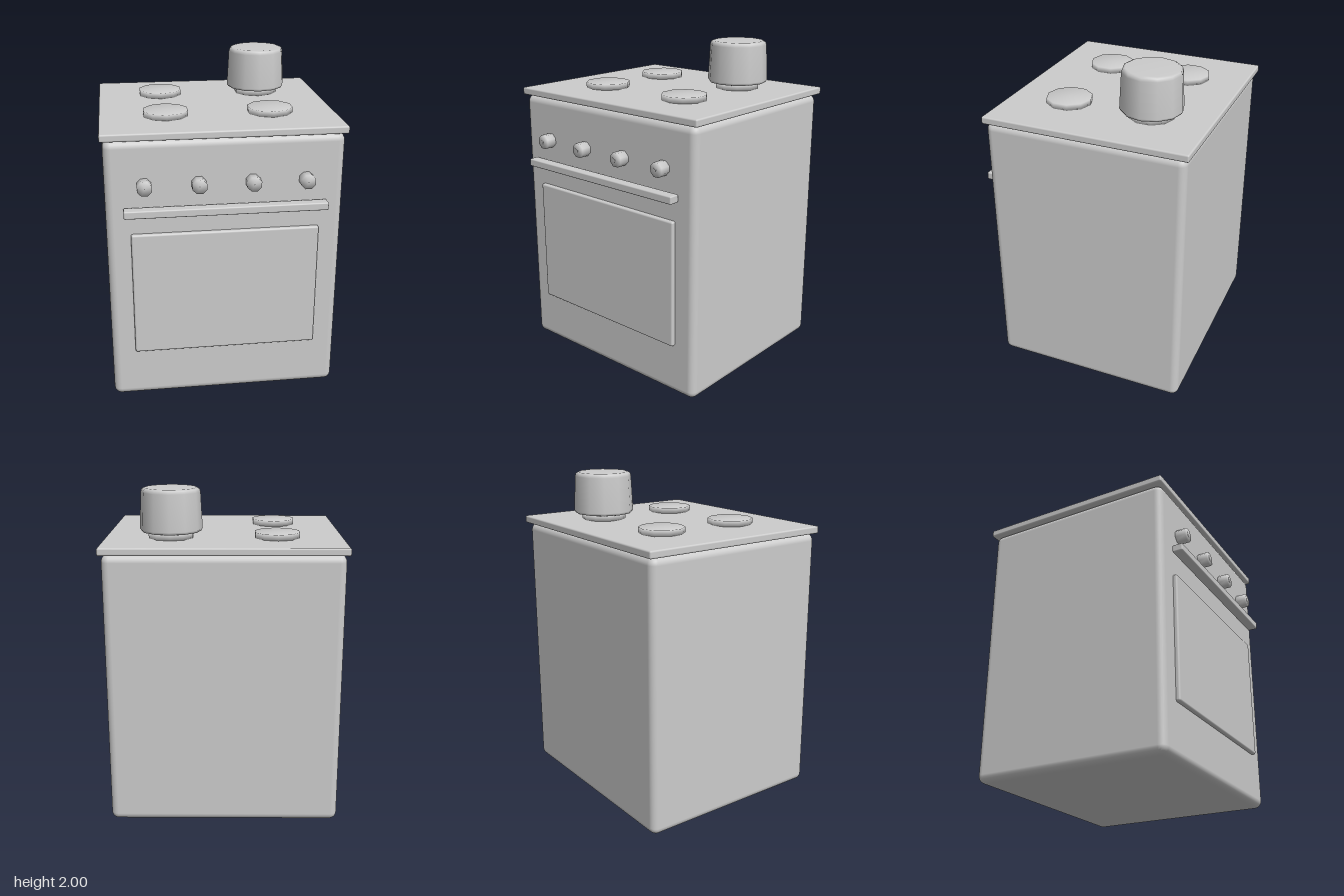
import * as THREE from 'three';
import { RoundedBoxGeometry } from 'three/addons/geometries/RoundedBoxGeometry.js';

export function createModel() {
  const model = new THREE.Group();
  model.name = 'stove';
  const enamel = new THREE.MeshStandardMaterial({ color: 0xcccccc });
  enamel.name = 'light grey enamel';

  const add = (name, geometry, x, y, z) => {
    const mesh = new THREE.Mesh(geometry, enamel);
    mesh.name = name;
    mesh.position.set(x, y, z);
    model.add(mesh);
    return mesh;
  };

  // Rounded box given by its lower and upper limits
  const box = (name, [x0, y0, z0], [x1, y1, z1], radius, segments = 2) =>
    add(name, new RoundedBoxGeometry(x1 - x0, y1 - y0, z1 - z0, segments, radius),
      (x0 + x1) / 2, (y0 + y1) / 2, (z0 + z1) / 2);

  // Softly shaded turned shape, profile listed from bottom to top
  const turned = (profile, sides, start = 0) =>
    new THREE.LatheGeometry(profile.map(([r, y]) => new THREE.Vector2(r, y)), sides, start);

  // Cabinet, hob plate, oven door and handle bar
  box('cabinet', [-0.695, 0, -0.64], [0.695, 1.66, 0.58], 0.045, 3);
  box('hobPlate', [-0.71, 1.66, -0.66], [0.71, 1.705, 0.59], 0.01);
  box('ovenDoor', [-0.555, 0.32, 0.54], [0.555, 1.1, 0.605], 0.012);
  box('doorHandle', [-0.592, 1.225, 0.597], [0.592, 1.272, 0.662], 0.008);

  // Four burners
  const burner = turned([[0, 0], [0.138, 0], [0.138, 0.04], [0, 0.04]], 10);
  for (const x of [-0.315, 0.315]) {
    for (const z of [-0.3, 0.22]) add('burner', burner, x, 1.7, z);
  }

  // Control knobs
  const knob = turned([[0, 0], [0.045, 0], [0.045, 0.085], [0, 0.085]], 8, Math.PI / 8);
  for (const x of [-0.47, -0.157, 0.157, 0.47]) {
    add('controlKnob', knob, x, 1.397, 0.56).rotation.x = Math.PI / 2;
  }

  // Tapered pot with bevelled rims on the back burner
  const pot = turned([
    [0, 0], [0.155, 0], [0.178, 0.005], [0.187, 0.02],
    [0.176, 0.235], [0.17, 0.253], [0.155, 0.26], [0, 0.26],
  ], 12);
  add('pot', pot, 0.315, 1.74, -0.3);

  return model;
}
